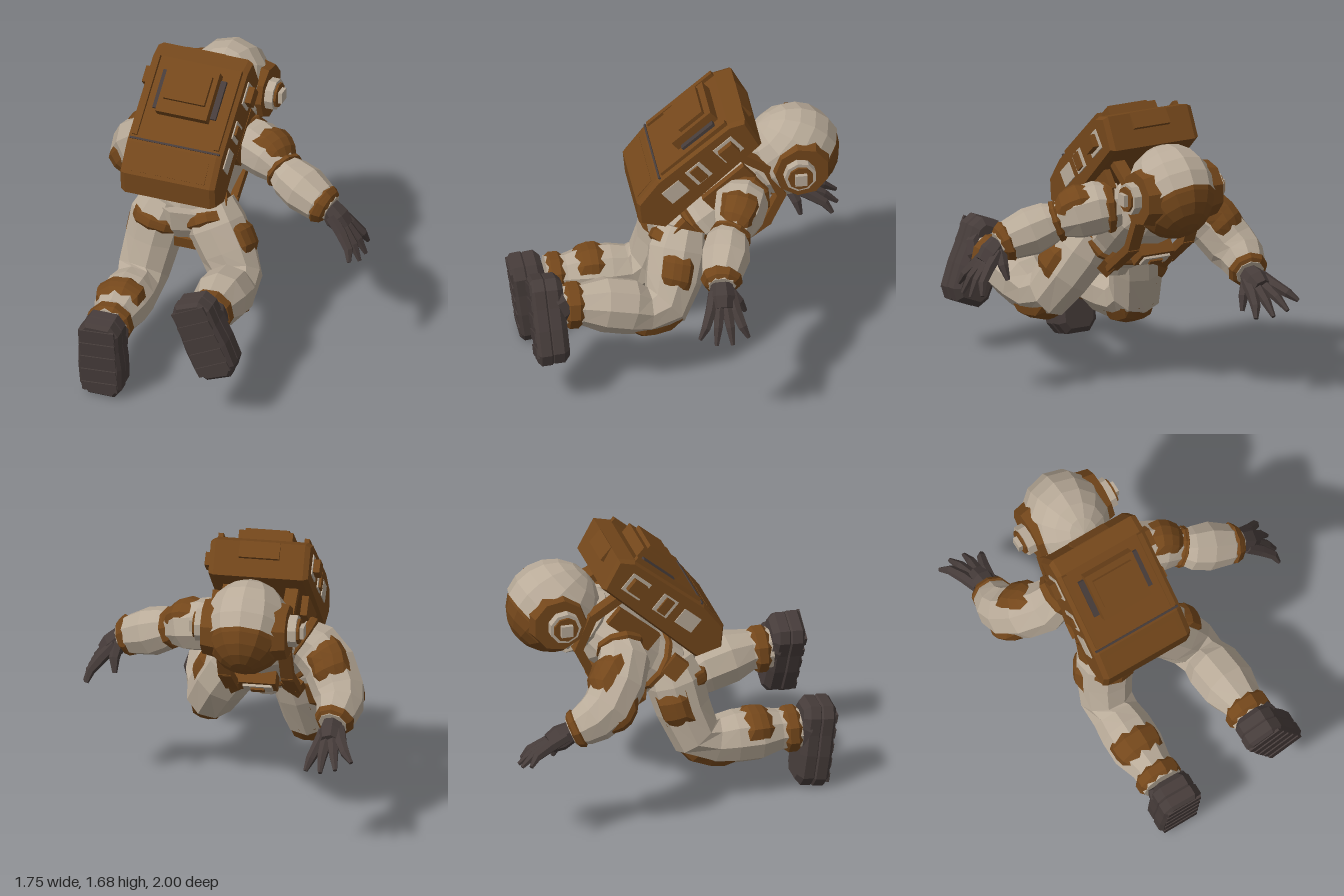
import * as THREE from 'three';

const V = (x, y, z) => new THREE.Vector3(x, y, z);
const mat = (name, color) => Object.assign(new THREE.MeshStandardMaterial({ color }), { name });

export function createModel() {
  const suit = mat('suit fabric', 0xb9ab99);
  const brown = mat('brown gear', 0x74471b);
  const dark = mat('dark rubber', 0x463c3a);
  const model = new THREE.Group();
  model.name = 'astronaut';

  // Faceted mesh with a name
  function add(parent, name, geo, material, pos = [0, 0, 0], rot = [0, 0, 0]) {
    const g = geo.index ? geo.toNonIndexed() : geo;
    g.computeVertexNormals();
    const m = new THREE.Mesh(g, material);
    m.name = name;
    m.position.set(...pos);
    m.rotation.set(...rot);
    parent.add(m);
    return m;
  }
  const box = (parent, name, size, pos, material, rot) =>
    add(parent, name, new THREE.BoxGeometry(...size), material, pos, rot);

  // Tube through rings [x, y, z, radius]; t range and span cut out a band or a patch facing dir
  function tube(rings, { t0 = 0, t1 = rings.length - 1, steps = Math.ceil(t1 - t0), dir = V(0.45, 0.6, 0.66), span = Math.PI * 2, sides = 9, grow = 0 } = {}) {
    const at = t => {
      const i = Math.min(Math.floor(t), rings.length - 2), f = t - i;
      return rings[i].map((v, k) => v + (rings[i + 1][k] - v) * f);
    };
    const patch = span < 6, n = patch ? 5 : sides, loops = [];
    let ref = dir;
    for (let i = 0; i <= steps; i++) {
      const t = t0 + (t1 - t0) * i / steps;
      const [x, y, z, r] = at(t);
      const a = at(Math.max(0, t - 0.6)), b = at(Math.min(rings.length - 1, t + 0.6));
      const T = V(b[0] - a[0], b[1] - a[1], b[2] - a[2]);
      if (T.length() < 1e-6) T.set(0, 1, 0);
      T.normalize();
      const e1 = ref.clone().addScaledVector(T, -ref.dot(T)).normalize();
      const e2 = T.clone().cross(e1), loop = [];
      if (!patch) ref = e1;
      for (let j = 0; j <= n; j++) {
        const w = -span / 2 + span * j / n;
        const edge = grow && (i === 0 || i === steps || (patch && (j === 0 || j === n)));
        const rr = edge ? r * 0.94 : r + grow;
        loop.push(V(x, y, z).addScaledVector(e1, Math.cos(w) * rr).addScaledVector(e2, Math.sin(w) * rr));
      }
      loops.push(loop);
    }
    const pts = [];
    for (let i = 0; i < steps; i++) for (let j = 0; j < n; j++) {
      const [p, q, r, s] = [loops[i][j], loops[i][j + 1], loops[i + 1][j], loops[i + 1][j + 1]];
      pts.push(p, q, r, q, s, r);
    }
    return new THREE.BufferGeometry().setFromPoints(pts);
  }
  const capped = rings => [[...rings[0].slice(0, 3), 0], ...rings, [...rings[rings.length - 1].slice(0, 3), 0]];

  // Upper body frame, leaning forward: local y runs to the head, local z to the pack
  const body = new THREE.Group();
  body.name = 'upperBody';
  body.position.set(-0.22, 1.0, -0.24);
  body.rotation.x = -0.863;
  model.add(body);

  const trunk = capped([[0, -0.43, 0.0, 0.1], [0, -0.33, 0.01, 0.18], [0, -0.16, 0, 0.175], [0, 0.02, 0, 0.2], [0, 0.17, 0, 0.2], [0, 0.28, -0.02, 0.13]]);
  add(body, 'torso', tube(trunk, { sides: 12 }), suit).scale.x = 1.35;
  add(body, 'belt', tube(trunk, { t0: 2.4, t1: 2.8, steps: 3, sides: 12, grow: 0.018 }), brown).scale.x = 1.35;
  add(body, 'collar', new THREE.TorusGeometry(0.17, 0.05, 5, 12), suit, [0, 0.28, -0.03], [Math.PI / 2, 0, 0]);
  box(body, 'chestBox', [0.22, 0.13, 0.08], [0, -0.01, -0.22], brown);
  box(body, 'chestPanel', [0.17, 0.08, 0.02], [0, -0.01, -0.265], suit);
  box(body, 'chestSwitches', [0.08, 0.04, 0.015], [0, -0.01, -0.28], brown);

  // Groin: pale wedge between the legs with a band below
  add(model, 'pelvis', tube(capped([[-0.2, 0.86, 0.03, 0.2], [-0.2, 0.75, 0.04, 0.17], [-0.19, 0.6, 0.03, 0.08]]), { sides: 8 }), suit);
  box(model, 'groinBand', [0.18, 0.07, 0.22], [-0.19, 0.665, 0.05], brown, [0.2, 0, 0]);

  for (const s of [-1, 1]) {
    // Harness: flat bars following the shoulder down to the belt
    const path = [[0.28, 0.26], [0.34, 0.06], [0.28, -0.14], [0.1, -0.22], [-0.18, -0.2]];
    for (let i = 0; i < path.length - 1; i++) {
      const [y0, z0] = path[i], [y1, z1] = path[i + 1];
      box(body, 'shoulderStrap', [0.075, Math.hypot(y1 - y0, z1 - z0) + 0.03, 0.05],
        [s * 0.185, (y0 + y1) / 2, (z0 + z1) / 2], brown, [Math.atan2(z1 - z0, y1 - y0), 0, 0]);
    }
    box(body, 'sideHarness', [0.04, 0.32, 0.12], [s * 0.265, 0.12, 0.16], brown);
    box(body, 'beltPouch', [0.11, 0.11, 0.08], [s * 0.17, -0.21, -0.17], brown, [0, s * 0.5, 0]);
    box(body, 'hipPanel', [0.06, 0.1, 0.13], [s * 0.25, -0.27, 0.1], brown, [0, 0, s * 0.25]);
  }

  // Backpack: side outline extruded across the back
  const outline = [[0.24, -0.31], [0.36, -0.39], [0.46, -0.32], [0.5, -0.14], [0.49, 0.4], [0.45, 0.48], [0.27, 0.44]];
  const packGeo = new THREE.ExtrudeGeometry(new THREE.Shape(outline.map(p => new THREE.Vector2(-p[0], p[1]))),
    { depth: 0.53, bevelEnabled: true, bevelSize: 0.015, bevelThickness: 0.03, bevelSegments: 1 });
  packGeo.translate(0, 0, -0.265).rotateY(Math.PI / 2);
  add(body, 'backpack', packGeo, brown);
  box(body, 'packSeam', [0.56, 0.012, 0.02], [0, -0.12, 0.51], dark);
  box(body, 'packPouch', [0.32, 0.3, 0.07], [0, 0.2, 0.54], brown);
  box(body, 'packPouchLid', [0.26, 0.18, 0.03], [0, 0.22, 0.585], brown);
  box(body, 'lowerFlap', [0.46, 0.13, 0.04], [0, -0.24, 0.476], brown, [0.2, 0, 0]);
  box(body, 'packTopRoll', [0.24, 0.04, 0.1], [0, 0.48, 0.41], brown);
  for (const s of [-1, 1]) {
    box(body, 'pouchSlot', [0.035, 0.24, 0.025], [s * 0.18, 0.2, 0.515], dark);
    box(body, 'packRail', [0.03, 0.5, 0.03], [s * 0.255, 0.15, 0.515], brown);
    // Side frames with equipment in the upper two
    for (const [y, h, w] of [[-0.11, 0.13, 0.1], [0.07, 0.11, 0.12], [0.3, 0.14, 0.12]])
      box(body, 'sideFrame', [0.008, h, w], [s * 0.298, y, 0.385], suit);
    box(body, 'sideModule', [0.03, 0.06, 0.1], [s * 0.3, 0.07, 0.385], brown);
    box(body, 'sideValve', [0.07, 0.1, 0.08], [s * 0.305, 0.3, 0.385], brown);
  }

  // Helmet: pale shell behind, large visor looking forward and down
  const helmet = new THREE.Group();
  helmet.name = 'helmet';
  helmet.position.set(-0.2, 1.26, -0.64);
  model.add(helmet);
  const ball = (r, a, b, rows) => new THREE.SphereGeometry(r, 12, rows, 0, Math.PI * 2, a, b - a);
  const tilt = [-(Math.PI - 0.8), 0, 0];
  const skull = new THREE.Group();
  skull.name = 'helmetShape';
  skull.scale.x = 0.9;
  helmet.add(skull);
  add(skull, 'visor', ball(0.274, 0, 1.35, 5), brown, [0, 0, 0], tilt);
  add(skull, 'helmetShell', ball(0.285, 1.18, Math.PI, 6), suit, [0, 0, 0], tilt);
  for (const s of [-1, 1]) {
    const side = [0, 0, Math.PI / 2];
    add(helmet, 'sidePlate', new THREE.CylinderGeometry(0.16, 0.18, 0.09, 9), brown, [s * 0.205, 0, -0.02], [0, 0, -s * Math.PI / 2]);
    add(helmet, 'earRing', new THREE.CylinderGeometry(0.095, 0.095, 0.06, 9), suit, [s * 0.27, 0, 0], side);
    add(helmet, 'earCap', new THREE.CylinderGeometry(0.075, 0.075, 0.05, 9), brown, [s * 0.29, 0, 0], side);
    box(helmet, 'earModule', [0.05, 0.07, 0.07], [s * 0.315, 0, 0], suit);
  }

  // Limb with raised bands and patches [name, t0, t1, facing, span]
  function limb(name, rings, details) {
    const g = new THREE.Group();
    g.name = name;
    model.add(g);
    const full = capped(rings);
    add(g, name + 'Sleeve', tube(full), suit);
    for (const [label, t0, t1, dir, span] of details)
      add(g, label, tube(full, { t0, t1, steps: 4, dir: V(...dir), span, grow: 0.016 }), brown);
  }
  const all = Math.PI * 2, any = [0.45, 0.6, 0.66];
  limb('leftArm', [[-0.02, 1.13, -0.34, 0.13], [0.1, 1.12, -0.29, 0.16], [0.22, 1.09, -0.25, 0.15], [0.31, 1.05, -0.2, 0.105],
    [0.36, 1.03, -0.17, 0.13], [0.46, 0.99, -0.14, 0.145], [0.58, 0.945, -0.1, 0.12], [0.65, 0.92, -0.09, 0.08]],
  [['shoulderBand', 1.2, 1.7, any, all], ['armPatch', 2.3, 3.9, [0.2, 0.8, -0.1], 1.9], ['elbowBand', 3.8, 4.4, any, all], ['wristCuff', 7, 8, any, all]]);
  limb('rightArm', [[-0.43, 1.1, -0.3, 0.12], [-0.54, 1.03, -0.3, 0.155], [-0.64, 0.94, -0.36, 0.16], [-0.71, 0.82, -0.45, 0.155],
    [-0.73, 0.77, -0.53, 0.14], [-0.72, 0.73, -0.6, 0.12], [-0.71, 0.7, -0.67, 0.085]],
  [['shoulderBand', 1, 1.5, any, all], ['armPatch', 2.2, 3.7, [0.3, 0.9, -0.3], 1.8], ['elbowPatch', 3.3, 4.7, [-0.25, -0.35, 0.9], 1.9], ['wristCuff', 6.2, 7, any, all]]);
  limb('leftLeg', [[-0.06, 0.87, 0.03, 0.15], [0, 0.76, 0.07, 0.18], [0.09, 0.62, 0.11, 0.17], [0.16, 0.5, 0.17, 0.155],
    [0.18, 0.48, 0.28, 0.14], [0.19, 0.52, 0.38, 0.165], [0.2, 0.56, 0.54, 0.165], [0.21, 0.58, 0.67, 0.125], [0.21, 0.58, 0.79, 0.125]],
  [['hipStrap', 1.2, 1.8, [-0.6, 0.2, 1], 2.2], ['thighPocket', 2.2, 3.3, [1, 0.3, 0.1], 1.3], ['kneePad', 4, 5.6, [0.2, -0.9, -0.3], 1.5], ['bootCuff', 8, 8.9, any, all]]);
  limb('rightLeg', [[-0.32, 0.87, 0.03, 0.15], [-0.36, 0.76, 0.06, 0.175], [-0.39, 0.6, 0.1, 0.165], [-0.42, 0.42, 0.17, 0.155],
    [-0.42, 0.37, 0.28, 0.145], [-0.42, 0.37, 0.4, 0.16], [-0.42, 0.37, 0.54, 0.16], [-0.41, 0.37, 0.67, 0.125], [-0.41, 0.37, 0.79, 0.125]],
  [['hipStrap', 1.8, 2.4, [0.3, 0.2, 1], 2.6], ['thighPocket', 2.2, 3.3, [-1, 0, -0.6], 1.3], ['kneePad', 3.9, 5.9, [0, -0.9, -0.3], 1.7],
    ['calfPatch', 6.3, 7.6, [-0.1, 1, 0], 2.9], ['bootCuff', 8.1, 9, any, all]]);

  // Boots: local y points to the heel, local z out through the sole
  const half = [[0.08, -0.265], [0.13, -0.2], [0.135, -0.05], [0.125, 0.08], [0.125, 0.19], [0.08, 0.255]];
  const ring = [...half, ...half.map(([x, y]) => [-x, y]).reverse()].map(p => new THREE.Vector2(...p));
  const slab = (depth, bevel) => new THREE.ExtrudeGeometry(new THREE.Shape(ring),
    { depth, bevelEnabled: true, bevelSize: bevel, bevelThickness: bevel, bevelOffset: -bevel, bevelSegments: 1 });
  function boot(name, pos, rot) {
    const g = new THREE.Group();
    g.name = name;
    g.position.set(...pos);
    g.rotation.set(...rot);
    model.add(g);
    add(g, 'sole', slab(0.06, 0.02), dark, [0, 0, -0.005]);
    add(g, 'bootUpper', slab(0.06, 0.035), dark, [0, 0, -0.08]).scale.set(0.97, 0.98, 1);
    add(g, 'ankle', tube(capped([[0, 0.1, -0.13, 0.12], [0, 0.08, -0.08, 0.135]])), dark);
    for (let i = 0; i < 5; i++) box(g, 'tread', [0.22, 0.06, 0.015], [0, -0.19 + i * 0.095, 0.075], dark, [0, 0, 0.08]);
  }
  boot('leftBoot', [0.25, 0.53, 0.89], [0.06, 0, 0.38]);
  boot('rightBoot', [-0.39, 0.265, 0.9], [0.13, 0, 0]);

  // Gloves: palm plus spread, slightly bent fingers
  function glove(name, wrist, forward, across) {
    const g = new THREE.Group();
    g.name = name;
    model.add(g);
    const f = V(...forward).normalize(), a = V(...across);
    a.addScaledVector(f, -a.dot(f)).normalize();
    const down = f.clone().cross(a);
    if (down.y > 0) down.negate();
    const pt = (u, v, w, r) => [...V(...wrist).addScaledVector(f, u).addScaledVector(a, v).addScaledVector(down, w).toArray(), r];
    add(g, 'gloveWrist', tube(capped([pt(-0.02, 0, 0, 0.065), pt(0.06, 0, 0, 0.078), pt(0.13, 0, 0, 0.06)]), { sides: 7 }), dark);
    for (let i = 0; i < 4; i++) {
      const k = i - 1.5, len = 0.36 - Math.abs(k) * 0.04;
      add(g, 'finger', tube(capped([pt(0.03, k * 0.032, 0, 0.036), pt(0.14, k * 0.048, 0, 0.036),
        pt(0.24, k * 0.072, 0.005, 0.029), pt(len, k * 0.095, 0.035, 0.013)]), { sides: 6 }), dark);
    }
    add(g, 'thumb', tube(capped([pt(0.02, 0.04, 0.01, 0.04), pt(0.08, 0.1, 0.05, 0.032), pt(0.13, 0.14, 0.11, 0.014)]), { sides: 6 }), dark);
  }
  glove('leftGlove', [0.65, 0.92, -0.09], [0.64, -0.7, 0.04], [0, 0, -1]);
  glove('rightGlove', [-0.71, 0.69, -0.68], [-0.05, -0.38, -0.93], [1, -0.3, 0]);

  return model;
}
